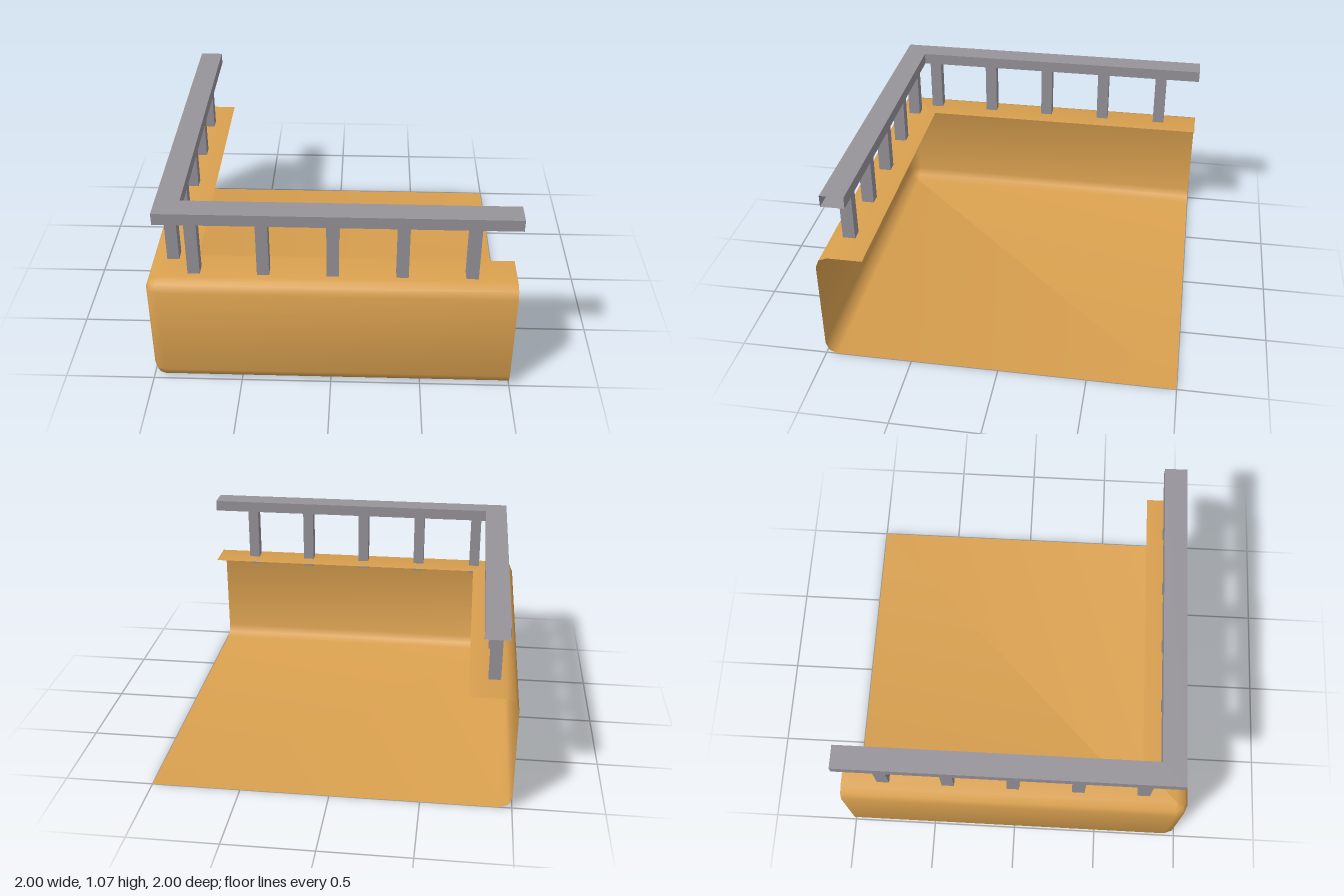
import * as THREE from 'three';

const R = 0.067;      // corner rounding
const C = 1 - R;      // where the rounding begins
const TOP = 0.67;     // height of the ledge

// Sweeps a profile of [offset, y] points along the L-shaped path: the front side,
// round the corner at (-x, +z), then the side at -x.
// Positive offsets round the corner, negative ones are mitred inward.
function sweepL(profile) {
  const deg = Math.PI / 180;
  const columns = [
    { angle: 0, shade: 0, end: 'front' },
    { angle: 0, shade: 11.25 },
    { angle: 45, shade: 45 },
    { angle: 90, shade: 78.75 },
    { angle: 90, shade: 90, end: 'side' },
  ];
  const rows = profile.length;
  // normal of each profile segment, pointing outward
  const segs = profile.slice(1).map(([o, y], i) =>
    new THREE.Vector2(profile[i][1] - y, o - profile[i][0]).normalize());
  const pos = [], nor = [], index = [];
  for (const { angle, shade, end } of columns) {
    const a = angle * deg, s = shade * deg;
    profile.forEach(([o, y], i) => {
      let x, z;
      if (end === 'front') [x, z] = [1, C + o];
      else if (end === 'side') [x, z] = [-C - o, -1];
      else if (o > 0) [x, z] = [-C - Math.sin(a) * o, C + Math.cos(a) * o];
      else [x, z] = [-C - o, C + o];
      pos.push(x, y, z);
      const n = segs[Math.max(i - 1, 0)].clone().add(segs[Math.min(i, rows - 2)]).normalize();
      nor.push(-Math.sin(s) * n.x, n.y, Math.cos(s) * n.x);
    });
  }
  for (let j = 0; j < columns.length - 1; j++) {
    for (let i = 0; i < rows - 1; i++) {
      const a = j * rows + i, b = a + 1, c = a + rows, d = c + 1;
      index.push(a, c, d, a, d, b);
    }
  }
  const g = new THREE.BufferGeometry();
  g.setAttribute('position', new THREE.Float32BufferAttribute(pos, 3));
  g.setAttribute('normal', new THREE.Float32BufferAttribute(nor, 3));
  g.setIndex(index);
  return g;
}

export function createModel() {
  const model = new THREE.Group();
  model.name = 'balconyCorner';

  const ochre = new THREE.MeshStandardMaterial({ color: 0xd9a04f, side: THREE.DoubleSide });
  ochre.name = 'ochre';
  const grey = new THREE.MeshStandardMaterial({ color: 0x96939a, side: THREE.DoubleSide, flatShading: true });
  grey.name = 'grey';

  const add = (name, geometry, material, parent = model) => {
    const mesh = new THREE.Mesh(geometry, material);
    mesh.name = name;
    parent.add(mesh);
    return mesh;
  };

  // Thin shell: inner ledge, rounded wall and floor in one surface
  const k = R * Math.SQRT1_2;
  add('wallAndFloor', sweepL([
    [-0.198, TOP], [0, TOP], [k, TOP - R + k], [R, TOP - R],
    [R, R], [k, R - k], [0, 0], [-1 - C, 0],
  ]), ochre);

  // Hollow handrail with open ends
  add('handrail', sweepL([
    [-0.133, 1.003], [-0.133, 1.07], [0, 1.07], [0, 1.003], [-0.133, 1.003],
  ]), grey);

  // Square open-ended posts, reaching a little below the ledge
  const bottom = 0.618, height = 1.003 - bottom;
  const postShape = new THREE.CylinderGeometry(Math.SQRT1_2, Math.SQRT1_2, height, 4, 1, true)
    .rotateY(Math.PI / 4)
    .scale(0.066, 1, 0.071);
  const posts = new THREE.Group();
  posts.name = 'posts';
  model.add(posts);
  for (let i = 0; i < 5; i++) {
    const t = -0.74 + i * 0.3745;
    add('frontPost', postShape, grey, posts).position.set(t, bottom + height / 2, 0.87);
    add('sidePost', postShape, grey, posts).position.set(-0.871, bottom + height / 2, -t);
  }

  return model;
}
